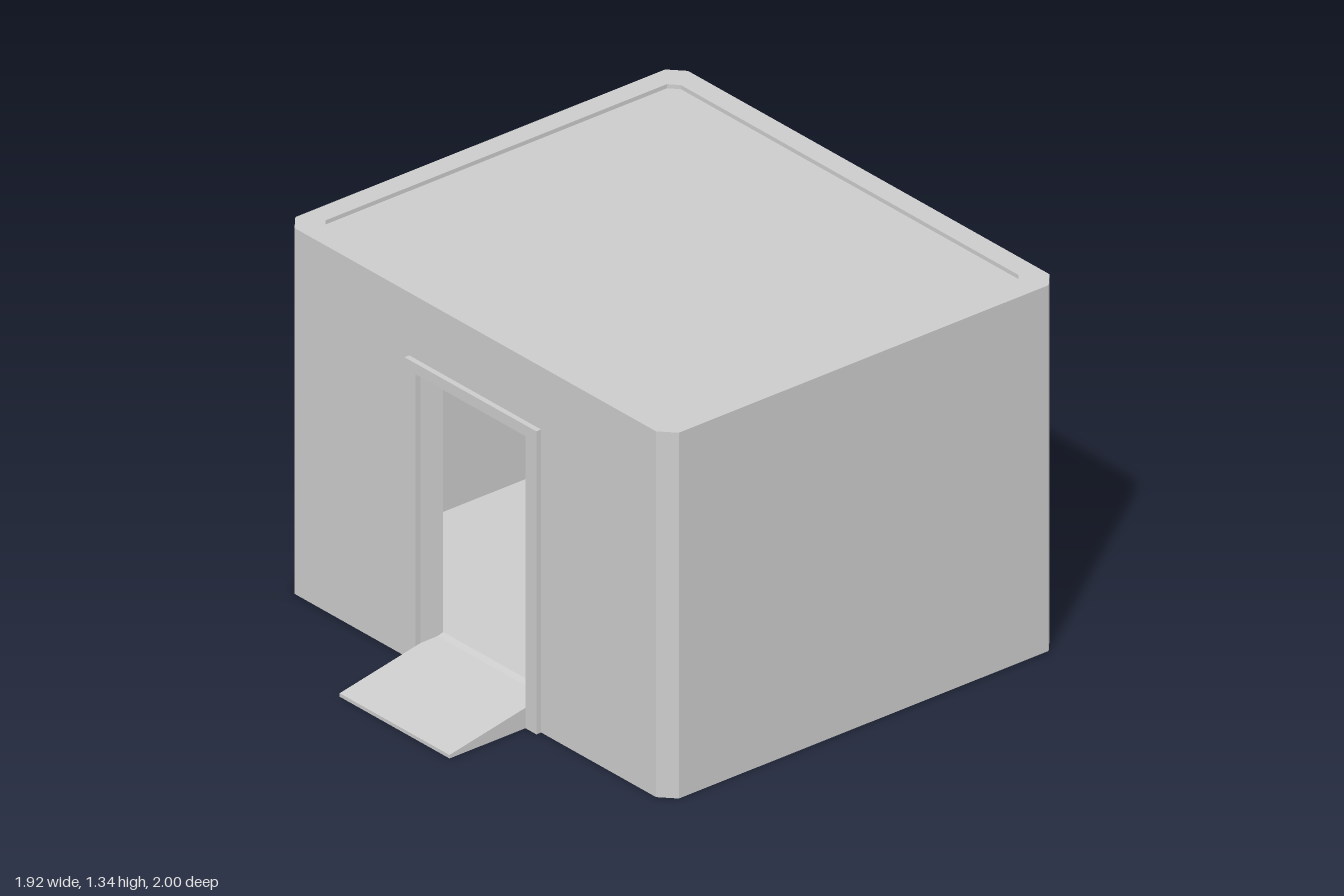
import * as THREE from 'three';

const HEIGHT = 1.34, FRONT = 0.66, BACK = -1, HALF = 0.96, WALL = 0.08;
const DOOR = 0.275, DOOR_TOP = 1.07, TAPER = 0.02;

const material = new THREE.MeshStandardMaterial({ color: 0xcccccc, flatShading: true });

const toShape = (points) => new THREE.Shape(points.map(([x, y]) => new THREE.Vector2(x, y)));

function extrude(points, depth) {
  return new THREE.ExtrudeGeometry(toShape(points), { depth, bevelEnabled: false });
}

// Plan outline of [x, z] points, raised from y0 to y1
function prismY(points, y0, y1) {
  return extrude(points.map(([x, z]) => [x, -z]), y1 - y0).rotateX(-Math.PI / 2).translate(0, y0, 0);
}

// Side outline of [z, y] points, spanning the doorway's width
function prismX(points, halfWidth) {
  return extrude(points.map(([z, y]) => [-z, y]), halfWidth * 2)
    .rotateY(Math.PI / 2).translate(-halfWidth, 0, 0);
}

// Chamfered rectangle, starting at the front right and going round the back
function outline(inset, cx, cz) {
  const x = HALF - inset, f = FRONT - inset, b = BACK + inset;
  const side = [[x - cx, f], [x, f - cz], [x, b + cz], [x - cx, b]];
  return [...side, ...side.map(([px, pz]) => [-px, pz]).reverse()];
}

export function createModel() {
  const group = new THREE.Group();
  const add = (name, geometry) => {
    const mesh = new THREE.Mesh(geometry, material);
    mesh.name = name;
    group.add(mesh);
  };

  const outer = outline(0, 0.055, 0.05);
  const inner = outline(WALL, 0.035, 0.03);
  const innerFront = FRONT - WALL;

  // Walls: one C-shaped ring, open at the slightly tapered doorway
  add('walls', prismY([
    [DOOR, FRONT], ...outer, [-DOOR, FRONT],
    [-DOOR + TAPER, innerFront], ...[...inner].reverse(), [DOOR - TAPER, innerFront],
  ], 0, HEIGHT));

  // Lintel closing the ring above the doorway, with a sloped underside
  add('lintel', prismX([
    [FRONT, DOOR_TOP], [FRONT, HEIGHT], [innerFront, HEIGHT], [innerFront, DOOR_TOP - TAPER],
  ], DOOR));

  // Floor and recessed roof panel
  add('floor', prismY(inner, 0, 0.1));
  add('roofPanel', prismY(inner, HEIGHT - 0.1, HEIGHT - 0.015));

  // Raised door surround
  add('doorFrame', extrude([
    [-0.33, 0], [-DOOR, 0], [-DOOR, DOOR_TOP], [DOOR, DOOR_TOP],
    [DOOR, 0], [0.33, 0], [0.33, 1.11], [-0.33, 1.11],
  ], 0.02).translate(0, 0, FRONT));

  // Entry ramp running through the doorway up to the floor
  add('ramp', prismX([[1, 0], [1, 0.013], [0.6, 0.09], [innerFront, 0.1], [innerFront, 0]], DOOR));

  return group;
}
